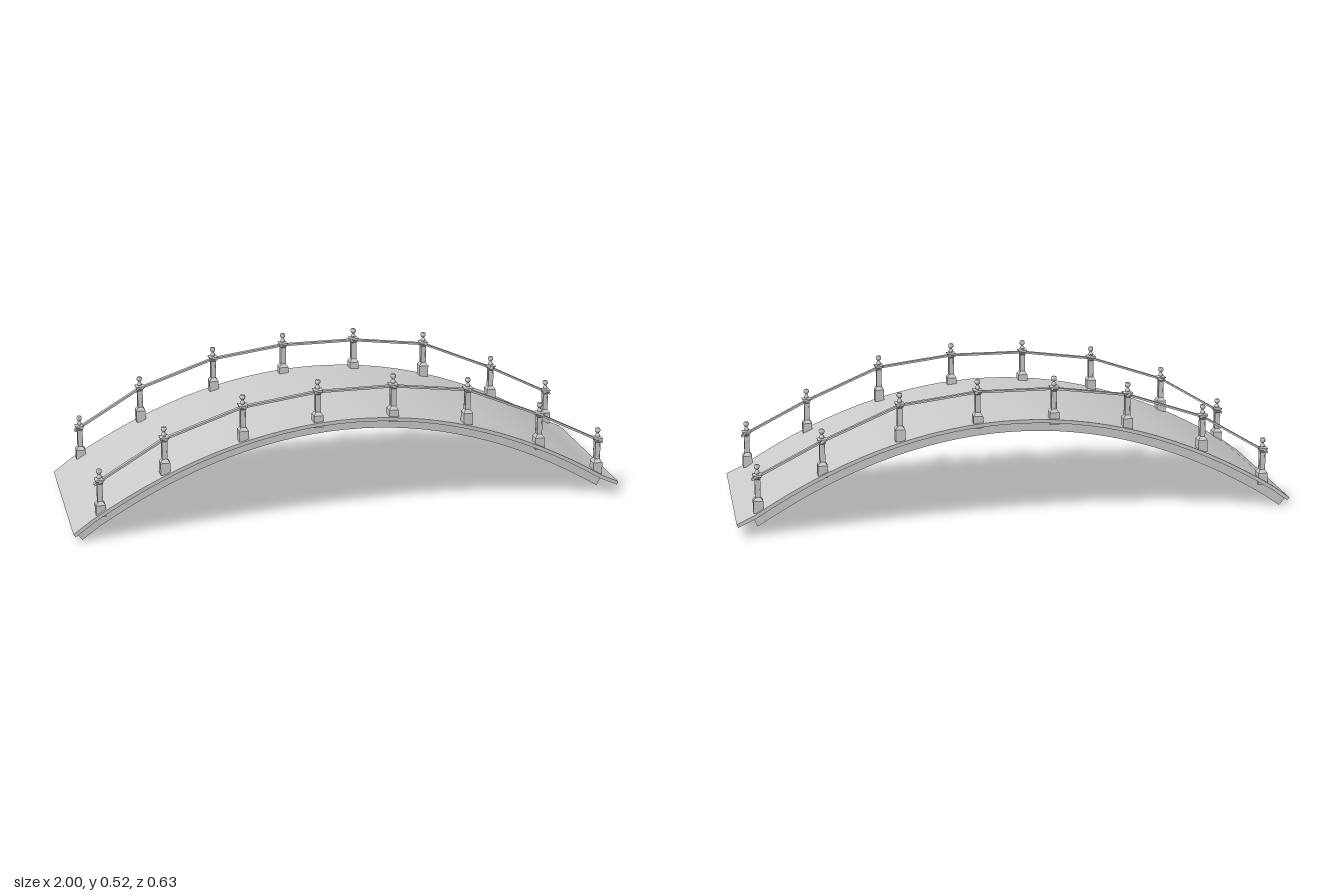
import * as THREE from 'three';
import { toCreasedNormals } from 'three/addons/utils/BufferGeometryUtils.js';

const mat = new THREE.MeshStandardMaterial({ color: 0xcccccc });

// Height of the walking surface: a parabola with straight lips at both ends
function deckY(x) {
  const arch = (u) => 0.375 - 0.337 * u * u;
  if (x < -0.95) return THREE.MathUtils.mapLinear(x, -1, -0.95, 0.033, arch(0.95));
  if (x > 0.94) return THREE.MathUtils.mapLinear(x, 0.94, 1, arch(0.94), 0.05);
  return arch(x);
}

// Point at a given depth under the walking surface, measured square to it
function under(x, depth) {
  const e = 0.002;
  const slope = (deckY(x + e) - deckY(x - e)) / (2 * e);
  const n = Math.hypot(1, slope);
  return new THREE.Vector2(x + (slope / n) * depth, deckY(x) - depth / n);
}

function mesh(name, geometry, parent) {
  const m = new THREE.Mesh(geometry, mat);
  m.name = name;
  parent.add(m);
  return m;
}

// Curved slab between two depths, extruded across the bridge
function archSlab(x0, x1, d0, d1, width) {
  const xs = [];
  for (let i = 0; i <= 32; i++) xs.push(x0 + ((x1 - x0) * i) / 32);
  const upper = xs.map((x) => under(x, d0));
  const lower = xs.map((x) => under(x, d1)).reverse();
  const g = new THREE.ExtrudeGeometry(new THREE.Shape([...lower, ...upper]), {
    depth: width, bevelEnabled: false,
  });
  g.translate(0, 0, -width / 2);
  return toCreasedNormals(g, 0.5);
}

// Square turned profile: pairs of half width and height
function squareTurned(profile) {
  const pts = profile.map(([h, y]) => new THREE.Vector2(h * Math.SQRT2, y));
  const g = new THREE.LatheGeometry(pts, 4).rotateY(Math.PI / 4);
  return toCreasedNormals(g, 0.3);
}

// Post geometries, with y = 0 at the tip of the finial
const bodyGeo = squareTurned([
  [0, -0.173], [0.019, -0.173], [0.019, -0.13], [0.0095, -0.118],
  [0.0095, -0.055], [0.0125, -0.051], [0.0125, -0.047], [0.0155, -0.045],
  [0.0155, -0.041], [0.018, -0.04], [0.018, -0.037], [0.009, -0.035], [0, -0.035],
]);
const cornerGeo = new THREE.BoxGeometry(0.003, 0.072, 0.003);
const finialGeo = toCreasedNormals(new THREE.LatheGeometry([
  [0.007, -0.036], [0.010, -0.031], [0.0095, -0.028], [0.005, -0.022],
  [0.005, -0.019], [0.009, -0.016], [0.011, -0.012], [0.011, -0.007],
  [0.008, -0.002], [0, 0],
].map(([r, y]) => new THREE.Vector2(r, y)), 12), 0.8);

function makePost() {
  const post = new THREE.Group();
  post.name = 'railPost';
  mesh('postBody', bodyGeo, post);
  mesh('finial', finialGeo, post);
  // Corner stiles frame the recessed panels of the shaft
  for (const sx of [-1, 1]) for (const sz of [-1, 1]) {
    mesh('cornerStile', cornerGeo, post).position.set(sx * 0.0092, -0.087, sz * 0.0092);
  }
  post.scale.x = 0.9;
  return post;
}

const postX = [-0.9, -0.671, -0.393, -0.126, 0.147, 0.422, 0.695, 0.922];
const postTop = [0.257, 0.393, 0.487, 0.522, 0.522, 0.487, 0.371, 0.256];

function makeRailing(z) {
  const railing = new THREE.Group();
  railing.name = z > 0 ? 'frontRailing' : 'backRailing';
  postX.forEach((x, i) => {
    const post = makePost();
    post.position.set(x, postTop[i], z);
    railing.add(post);
  });

  // Handrail spans; the outermost ones run a little past the end posts
  const last = postX.length - 2;
  for (let i = 0; i <= last; i++) {
    const a = new THREE.Vector2(postX[i], postTop[i] - 0.046);
    const b = new THREE.Vector2(postX[i + 1], postTop[i + 1] - 0.046);
    const dir = b.clone().sub(a).normalize();
    if (i === 0) a.addScaledVector(dir, -0.022);
    if (i === last) b.addScaledVector(dir, 0.022);
    const span = mesh('handrail', new THREE.BoxGeometry(a.distanceTo(b), 0.007, 0.016), railing);
    span.position.set((a.x + b.x) / 2, (a.y + b.y) / 2, z);
    span.rotation.z = dir.angle();
  }
  return railing;
}

export function createModel() {
  const bridge = new THREE.Group();
  bridge.name = 'archedBridge';

  mesh('deck', archSlab(-1, 1, 0, 0.013, 0.634), bridge);

  // Three arched beams carry the deck
  const beamGeo = archSlab(-0.995, 0.945, 0.01, 0.046, 0.037);
  for (const z of [-0.28, -0.005, 0.273]) mesh('archBeam', beamGeo, bridge).position.z = z;

  for (const z of [-0.287, 0.287]) bridge.add(makeRailing(z));
  return bridge;
}
